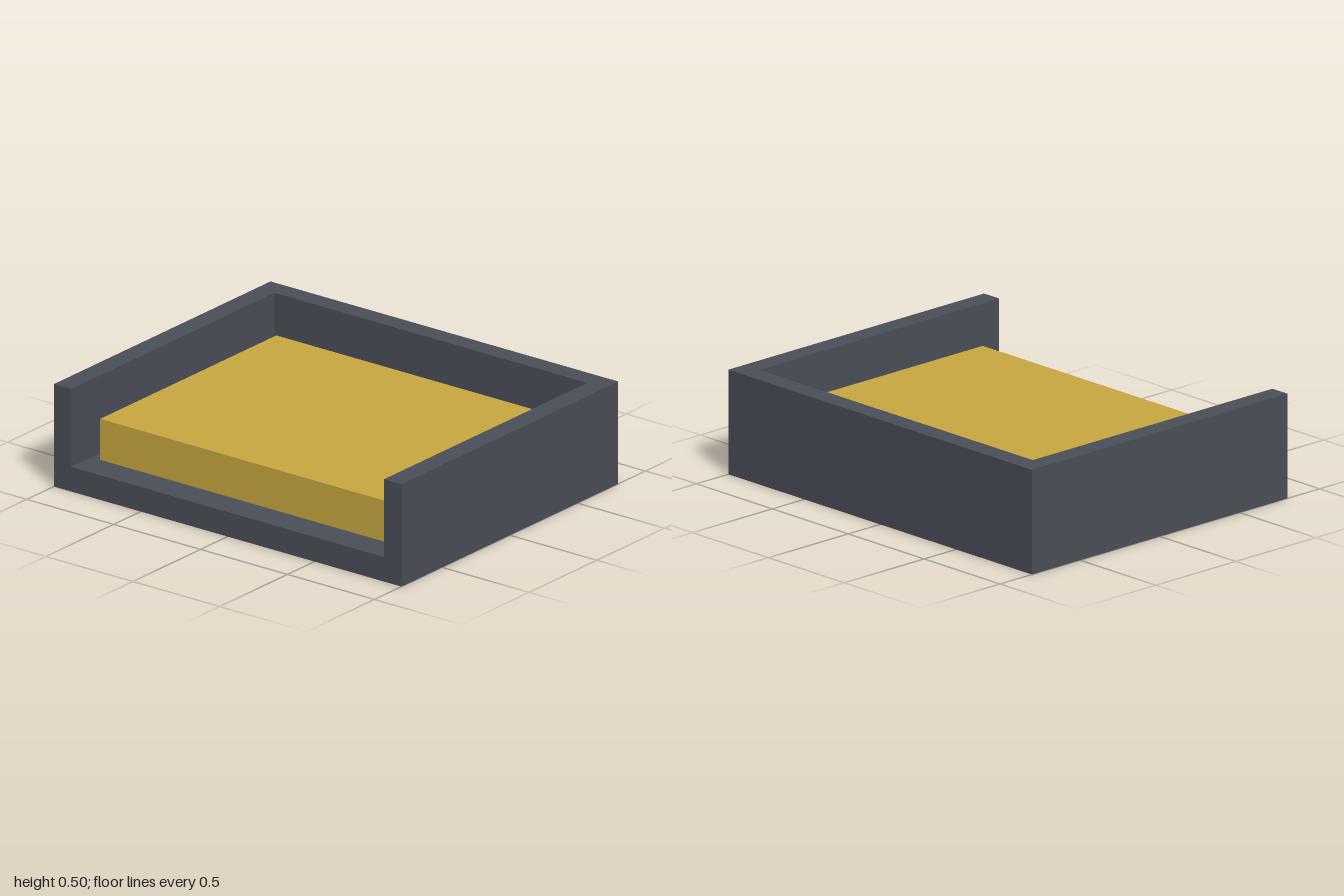
import * as THREE from 'three';

const WIDTH = 2, DEPTH = 1.6, HEIGHT = 0.5, WALL = 0.1, FLOOR = 0.12;

export function createModel() {
  const group = new THREE.Group();
  group.name = 'cushionedTray';

  const slate = new THREE.MeshStandardMaterial({ color: 0x4a4e57 });
  slate.name = 'slate grey';
  const mustard = new THREE.MeshStandardMaterial({ color: 0xc9a840 });
  mustard.name = 'mustard yellow';

  const add = (name, geometry, material, y) => {
    const mesh = new THREE.Mesh(geometry, material);
    mesh.name = name;
    mesh.position.y = y;
    group.add(mesh);
  };

  // Base slab
  add('base', new THREE.BoxGeometry(WIDTH, FLOOR, DEPTH), slate, FLOOR / 2);

  // U-shaped wall, open at the front (shape y becomes -z)
  const x = WIDTH / 2, z = DEPTH / 2;
  const outline = new THREE.Shape([
    [-x, -z], [-x + WALL, -z], [-x + WALL, z - WALL], [x - WALL, z - WALL],
    [x - WALL, -z], [x, -z], [x, z], [-x, z],
  ].map(([px, py]) => new THREE.Vector2(px, py)));
  const walls = new THREE.ExtrudeGeometry(outline, { depth: HEIGHT - FLOOR, bevelEnabled: false });
  walls.rotateX(-Math.PI / 2);
  add('walls', walls, slate, FLOOR);

  // Cushion resting on the base
  add('cushion', new THREE.BoxGeometry(1.7, 0.2, 1.3), mustard, FLOOR + 0.1);

  return group;
}
